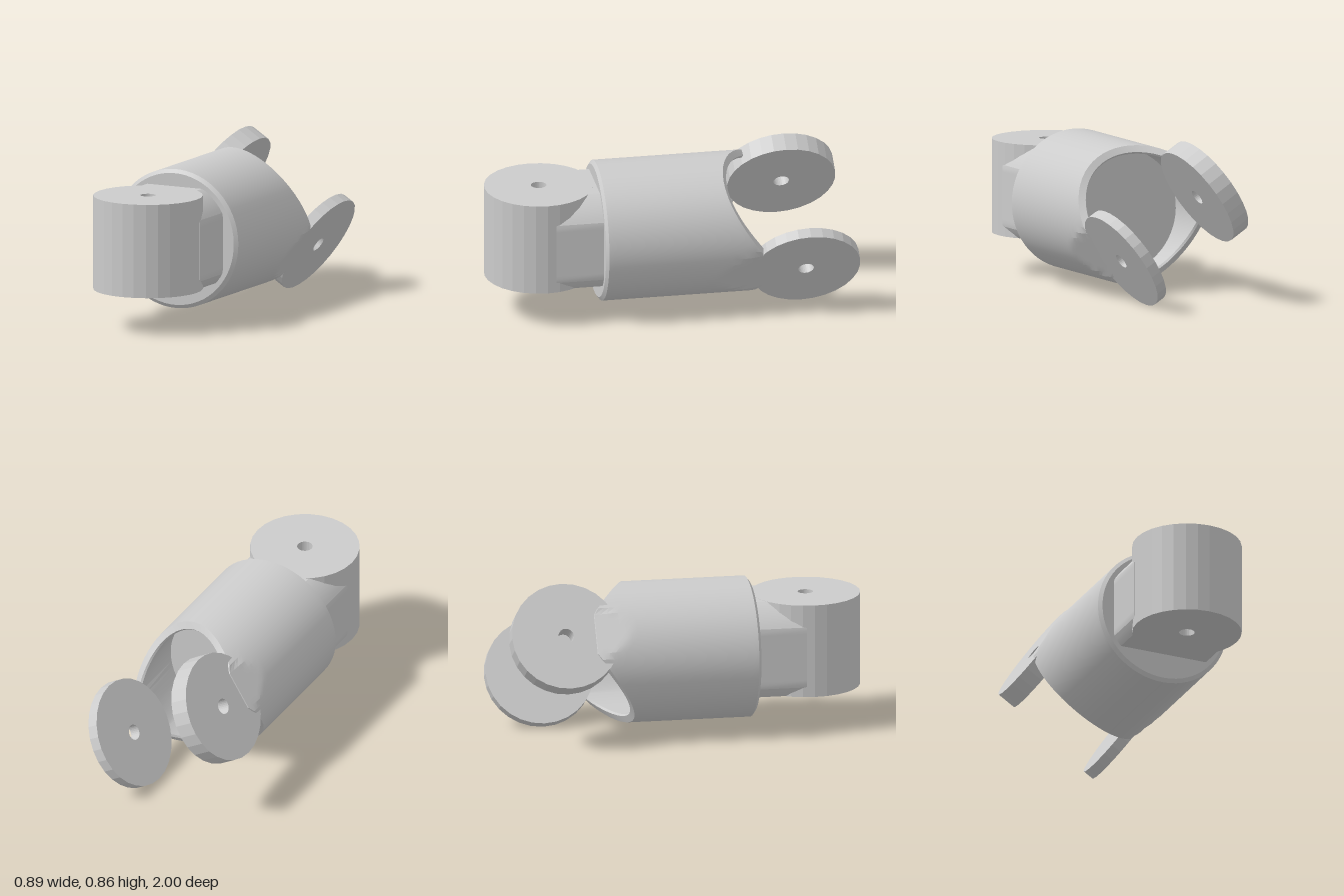
import * as THREE from 'three';
import { toCreasedNormals } from 'three/addons/utils/BufferGeometryUtils.js';

const AXIS_Y = 0.433;
const flat = new THREE.MeshStandardMaterial({ color: 0xcccccc, flatShading: true });
const smooth = new THREE.MeshStandardMaterial({ color: 0xcccccc });

// Faceted disc with a pin hole, extruded along z
function eye(radius, depth, hole) {
  const shape = new THREE.Shape().absarc(0, 0, radius, 0, Math.PI * 2, false);
  shape.holes.push(new THREE.Path().absarc(0, 0, hole, 0, Math.PI * 2, true));
  return new THREE.ExtrudeGeometry(shape, { depth, bevelEnabled: false, curveSegments: 14 });
}

function part(name, geometry, material = flat) {
  const mesh = new THREE.Mesh(geometry, material);
  mesh.name = name;
  return mesh;
}

// Hollow barrel along z: rows run from the front cap, along the outside, over the rim and into the bore
function barrelGeometry() {
  const segs = 64, steps = 28, floor = -0.15;
  // saddle-shaped rear edge, furthest back at the two cheeks (+x and -x)
  const rear = s => Math.max(-0.51, -0.7 + Math.sqrt(Math.max(0, 0.41 ** 2 - s * s)));
  const { lerp, clamp, smoothstep } = THREE.MathUtils;
  // flats that ramp from the barrel down to the outer faces of the cheeks
  const limit = (z, left) => {
    const t = left ? (z + 0.51) / 0.21 : (z + 0.45) / 0.25;
    return lerp(0.342, 0.381, clamp(t, 0, 1));
  };
  const rows = [
    { r: 0, z: () => 0.4 },
    { r: 0.36, z: () => 0.4 },
    { r: 0.38, z: () => 0.385 },
  ];
  for (let i = 1; i <= steps; i++) {
    const t = i / steps;
    rows.push({ r: 0.38, z: s => lerp(0.385, rear(s) + 0.02, t) });
  }
  rows.push({ r: 0.345, inset: 0.02, z: s => rear(s) });
  rows.push({ r: 0.335, inset: 0.03, z: s => rear(s) + 0.01 });
  rows.push({ r: 0.335, z: () => floor });
  rows.push({ r: 0, z: () => floor });

  const pos = [], index = [];
  for (const row of rows) {
    for (let j = 0; j <= segs; j++) {
      const a = (j / segs) * Math.PI * 2;
      const z = row.z(0.38 * Math.cos(a));
      let x = row.r * Math.cos(a);
      const max = limit(z, x < 0) - (row.inset || 0);
      x = clamp(x, -max, max);
      pos.push(x, row.r * Math.sin(a), z);
    }
  }
  for (let i = 0; i < rows.length - 1; i++) {
    for (let j = 0; j < segs; j++) {
      const a = i * (segs + 1) + j, c = a + segs + 1;
      if (rows[i + 1].r > 0) index.push(a, c, c + 1);
      if (rows[i].r > 0) index.push(a, c + 1, a + 1);
    }
  }
  const geometry = new THREE.BufferGeometry();
  geometry.setAttribute('position', new THREE.Float32BufferAttribute(pos, 3));
  geometry.setIndex(index);
  return toCreasedNormals(geometry, 0.25);
}

export function createModel() {
  const model = new THREE.Group();
  model.name = 'jointLink';

  // Front lug: upright cylinder with a vertical pin hole
  const lug = part('frontLug', eye(0.295, 0.51, 0.042).rotateX(-Math.PI / 2));
  lug.position.set(0, AXIS_Y + 0.035 - 0.255, 0.705);
  lug.position.y = 0.212;
  model.add(lug);

  // Neck: round bar trimmed to the width and height of the lug
  const outline = [];
  for (let i = 0; i < 96; i++) {
    const a = (i / 96) * Math.PI * 2;
    outline.push(new THREE.Vector2(
      THREE.MathUtils.clamp(0.334 * Math.cos(a), -0.293, 0.293),
      THREE.MathUtils.clamp(0.334 * Math.sin(a), -0.22, 0.288),
    ));
  }
  for (const p of outline) p.y = THREE.MathUtils.clamp(p.y, -0.22, 0.288);
  const neck = part('neck', toCreasedNormals(
    new THREE.ExtrudeGeometry(new THREE.Shape(outline), { depth: 0.27, bevelEnabled: false }), 0.2), smooth);
  neck.position.set(0, AXIS_Y, 0.39);
  model.add(neck);

  // Barrel and rear fork, rolled about the long axis
  const fork = new THREE.Group();
  fork.name = 'rearFork';
  fork.position.y = AXIS_Y;
  fork.rotation.z = -0.565;
  fork.add(part('barrel', barrelGeometry(), smooth));

  // Two round cheeks of different thickness
  const cheeks = [
    { name: 'leftCheek', x: 0.282, depth: 0.06, z: -0.705 },
    { name: 'rightCheek', x: -0.342, depth: 0.107, z: -0.655 },
  ];
  for (const c of cheeks) {
    const cheek = part(c.name, eye(0.295, c.depth, 0.042).rotateY(Math.PI / 2));
    cheek.position.set(c.x, 0, c.z);
    fork.add(cheek);
  }
  model.add(fork);
  return model;
}
